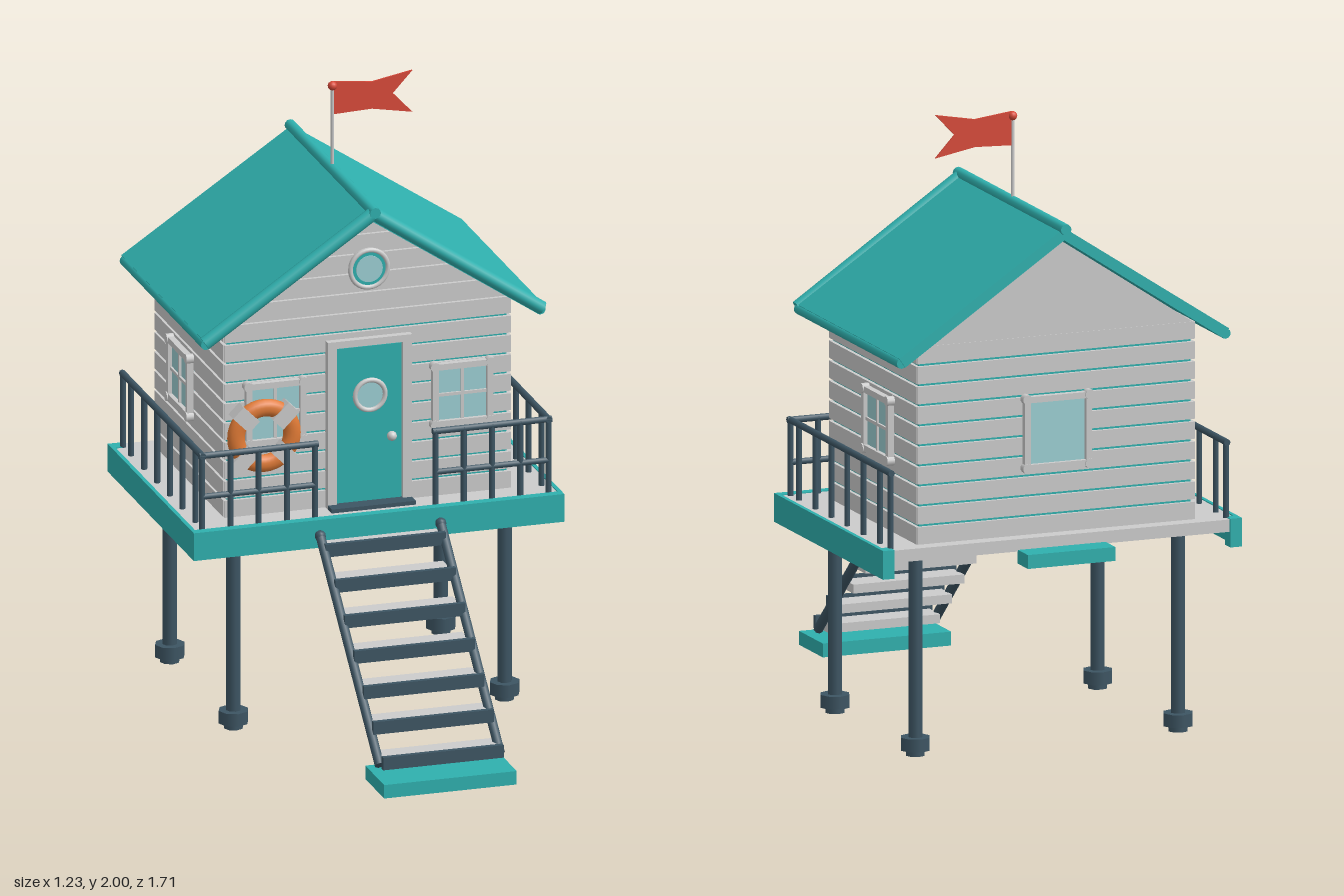
import * as THREE from 'three';

const mat = (color, extra = {}) => new THREE.MeshStandardMaterial({ color, ...extra });
const GREY = mat(0xcccccc), TEAL = mat(0x2fb0ae), DARK = mat(0x3d5563), GLASS = mat(0x9ccfd3);
const RED = mat(0xd84a3a, { side: THREE.DoubleSide }), ORANGE = mat(0xe07a35);

function add(parent, name, geo, material, x = 0, y = 0, z = 0) {
  const m = new THREE.Mesh(geo, material);
  m.name = name;
  m.position.set(x, y, z);
  parent.add(m);
  return m;
}
// box given by its limits
function box(parent, name, material, x0, x1, y0, y1, z0, z1) {
  return add(parent, name, new THREE.BoxGeometry(x1 - x0, y1 - y0, z1 - z0), material,
    (x0 + x1) / 2, (y0 + y1) / 2, (z0 + z1) / 2);
}
// round bar between two points
function rod(parent, name, material, a, b, r, sides = 8) {
  const p = new THREE.Vector3(...a), q = new THREE.Vector3(...b), d = q.clone().sub(p);
  const m = add(parent, name, new THREE.CylinderGeometry(r, r, d.length(), sides), material);
  m.position.copy(p).add(q).multiplyScalar(0.5);
  m.quaternion.setFromUnitVectors(new THREE.Vector3(0, 1, 0), d.normalize());
  return m;
}
// polygon in x, y extruded from z0 to z1
function prism(parent, name, material, pts, z0, z1) {
  const shape = new THREE.Shape(pts.map(p => new THREE.Vector2(...p)));
  return add(parent, name, new THREE.ExtrudeGeometry(shape, { depth: z1 - z0, bevelEnabled: false }), material, 0, 0, z0);
}
function frameGeometry(w, h, t, depth) {
  const rect = (P, a, b) => new P([[-a, -b], [a, -b], [a, b], [-a, b]].map(p => new THREE.Vector2(...p)));
  const s = rect(THREE.Shape, w / 2, h / 2);
  s.holes.push(rect(THREE.Path, w / 2 - t, h / 2 - t));
  return new THREE.ExtrudeGeometry(s, { depth, bevelEnabled: false });
}
// framed pane facing +z, origin on the wall
function makeWindow(name, w, h, muntins) {
  const g = new THREE.Group();
  g.name = name;
  add(g, 'windowFrame', frameGeometry(w, h, 0.02, 0.022), GREY);
  box(g, 'windowGlass', GLASS, -w / 2 + 0.01, w / 2 - 0.01, -h / 2 + 0.01, h / 2 - 0.01, -0.005, 0.008);
  if (muntins) {
    box(g, 'muntin', GREY, -0.005, 0.005, -h / 2 + 0.01, h / 2 - 0.01, 0, 0.015);
    box(g, 'muntin', GREY, -w / 2 + 0.01, w / 2 - 0.01, -0.005, 0.005, 0, 0.015);
  }
  for (const sx of [-1, 1]) for (const sy of [-1, 1])
    rod(g, 'frameCorner', GREY, [sx * (w / 2 - 0.008), sy * (h / 2 - 0.008), 0], [sx * (w / 2 - 0.008), sy * (h / 2 - 0.008), 0.026], 0.016, 10);
  return g;
}
function porthole(parent, y, z, r, rings) {
  const g = new THREE.Group();
  g.name = 'porthole';
  g.position.set(0, y, z);
  rings.forEach(([radius, material, depth]) =>
    rod(g, 'portholeDisc', material, [0, 0, -0.01], [0, 0, depth], radius, 32));
  add(g, 'portholeRim', new THREE.TorusGeometry(r, 0.008, 8, 32), GREY, 0, 0, 0.012);
  parent.add(g);
}

export function createModel() {
  const model = new THREE.Group();
  model.name = 'stiltHut';
  const SLOPE = 0.67;

  // stilts and feet
  for (const x of [-0.45, 0.45]) for (const z of [0.01, -0.65]) {
    rod(model, 'stilt', DARK, [x, 0.04, z], [x, 0.67, z], 0.024);
    rod(model, 'foot', DARK, [x, 0.018, z], [x, 0.06, z], 0.049);
    rod(model, 'footBase', DARK, [x, 0, z], [x, 0.02, z], 0.032);
  }

  // deck with edge boards
  box(model, 'deckFloor', GREY, -0.605, 0.605, 0.66, 0.7, -0.775, 0.1);
  box(model, 'frontEdgeBoard', TEAL, -0.615, 0.615, 0.61, 0.703, 0.085, 0.115);
  for (const s of [-1, 1]) {
    const side = box(model, 'sideEdgeBoard', TEAL, 0.602, 0.615, 0.61, 0.703, -0.78, 0.1);
    const corner = box(model, 'cornerBlock', TEAL, 0.575, 0.615, 0.61, 0.703, -0.78, -0.737);
    side.position.x *= s;
    corner.position.x *= s;
  }
  box(model, 'rearLedge', TEAL, -0.15, 0.15, 0.62, 0.665, -0.855, -0.77);

  // railings
  for (const s of [-1, 1]) {
    const x = s * 0.575, z = 0.075;
    for (let i = 0; i < 5; i++) {
      const px = s * (0.2 + i * 0.09375);
      rod(model, 'railPost', DARK, [px, 0.7, z], [px, 0.95, z], 0.01);
    }
    for (const pz of [0.005, -0.13, -0.26, -0.39, -0.525, -0.66, -0.745])
      rod(model, 'railPost', DARK, [x, 0.7, pz], [x, 0.95, pz], 0.01);
    rod(model, 'frontTopRail', DARK, [s * 0.19, 0.945, z], [s * 0.585, 0.945, z], 0.011);
    rod(model, 'frontMidRail', DARK, [s * 0.2, 0.808, z], [x, 0.808, z], 0.01);
    rod(model, 'sideTopRail', DARK, [x, 0.945, 0.085], [x, 0.945, -0.755], 0.011);
  }

  // house core and rear gable
  box(model, 'wallCore', TEAL, -0.465, 0.465, 0.7, 1.34, -0.715, -0.015);
  prism(model, 'gable', GREY, [[-0.47, 1.34], [0.47, 1.34], [0, 1.34 + 0.47 * SLOPE]], -0.725, -0.015);

  // clapboards with narrow gaps
  const PITCH = 0.065, GAP = 0.009;
  for (let i = 0; i < 14; i++) {
    const y0 = 0.7 + i * PITCH, y1 = y0 + PITCH - GAP;
    if (i < 10) {
      box(model, 'rearClapboard', GREY, -0.475, 0.475, y0, y1, -0.727, -0.71);
      for (const s of [-1, 1])
        box(model, 'sideClapboard', GREY, s * 0.468 - 0.009, s * 0.468 + 0.009, y0, y1, -0.725, -0.012);
    }
    const half = y => Math.min(0.475, (1.66 - y) / SLOPE);
    prism(model, 'frontClapboard', GREY, [[-half(y0), y0], [half(y0), y0], [half(y1), y1], [-half(y1), y1]], -0.02, -0.003);
  }

  // roof slopes, front rods, eaves and ridge
  for (const s of [-1, 1]) {
    const pts = [[0, 1.7], [0, 1.66], [s * 0.545, 1.295], [s * 0.565, 1.325]];
    prism(model, 'roofSlope', TEAL, s > 0 ? pts : pts.reverse(), -0.795, 0.055);
    rod(model, 'gableTrim', TEAL, [0, 1.69, 0.055], [s * 0.56, 1.313, 0.055], 0.022, 12);
    rod(model, 'eaveTrim', TEAL, [s * 0.555, 1.308, -0.79], [s * 0.555, 1.308, 0.055], 0.017, 12);
  }
  rod(model, 'ridgeCap', TEAL, [0, 1.697, -0.81], [0, 1.697, 0.078], 0.018, 12);

  // windows
  const place = (w, x, y, z, turn) => {
    w.position.set(x, y, z);
    w.rotation.y = turn;
    model.add(w);
  };
  for (const s of [-1, 1]) {
    place(makeWindow('frontWindow', 0.2, 0.21, true), s * 0.31, 1.04, -0.004, 0);
    place(makeWindow('sideWindow', 0.22, 0.21, true), s * 0.476, 1.03, -0.43, s * Math.PI / 2);
  }
  place(makeWindow('rearWindow', 0.23, 0.24, false), 0, 1.03, -0.726, Math.PI);

  // door, frame, knob and threshold
  const doorFrame = [[-0.14, 0.7], [-0.11, 0.7], [-0.11, 1.235], [0.11, 1.235], [0.11, 0.7], [0.14, 0.7], [0.14, 1.258], [-0.14, 1.258]];
  prism(model, 'doorFrame', GREY, doorFrame, -0.01, 0.02);
  box(model, 'door', TEAL, -0.108, 0.108, 0.71, 1.23, -0.01, 0.009);
  porthole(model, 1.07, 0.01, 0.05, [[0.05, GREY, 0.008], [0.043, GLASS, 0.012]]);
  add(model, 'doorKnob', new THREE.SphereGeometry(0.016, 16, 12), GREY, 0.072, 0.925, 0.022);
  box(model, 'threshold', DARK, -0.14, 0.14, 0.698, 0.713, -0.005, 0.06);
  porthole(model, 1.49, 0, 0.062, [[0.065, GREY, 0.008], [0.056, TEAL, 0.013], [0.044, GLASS, 0.016]]);

  // lifebuoy
  const buoy = new THREE.Group();
  buoy.name = 'lifebuoy';
  buoy.position.set(-0.355, 0.975, 0.03);
  const ring = add(buoy, 'buoyRing', new THREE.TorusGeometry(0.093, 0.029, 14, 40), ORANGE);
  ring.scale.z = 0.75;
  for (let i = 0; i < 4; i++) {
    const a = Math.PI / 4 + i * Math.PI / 2;
    const band = add(buoy, 'buoyBand', new THREE.BoxGeometry(0.075, 0.05, 0.05), GREY, 0.093 * Math.cos(a), 0.093 * Math.sin(a), 0);
    band.rotation.z = a;
  }
  model.add(buoy);

  // stairs and landing slab
  for (const x of [-0.2, 0.2]) {
    rod(model, 'stringer', DARK, [x, 0.092, 0.745], [x, 0.655, 0.13], 0.016);
    add(model, 'stringerCap', new THREE.SphereGeometry(0.018, 12, 8), DARK, x, 0.655, 0.13);
  }
  for (let i = 0; i < 7; i++) {
    const z = 0.775 - i * 0.0995, y = 0.088 + i * 0.0855;
    box(model, 'tread', GREY, -0.19, 0.19, y + 0.003, y + 0.032, z - (i < 6 ? 0.095 : 0.07), z);
    box(model, 'treadNosing', DARK, -0.2, 0.2, y, y + 0.042, z - 0.008, z + 0.008);
  }
  box(model, 'landingSlab', TEAL, -0.22, 0.22, 0.02, 0.065, 0.66, 0.855);

  // flagpole and flag
  rod(model, 'flagpole', GREY, [0, 1.69, -0.37], [0, 1.975, -0.37], 0.006);
  add(model, 'poleBall', new THREE.SphereGeometry(0.015, 14, 10), RED, 0, 1.975, -0.37);
  prism(model, 'flag', RED, [[0.004, 1.99], [0.004, 1.88], [0.13, 1.885], [0.265, 1.86], [0.2, 1.93], [0.265, 2], [0.13, 1.975]], -0.373, -0.367);

  return model;
}
